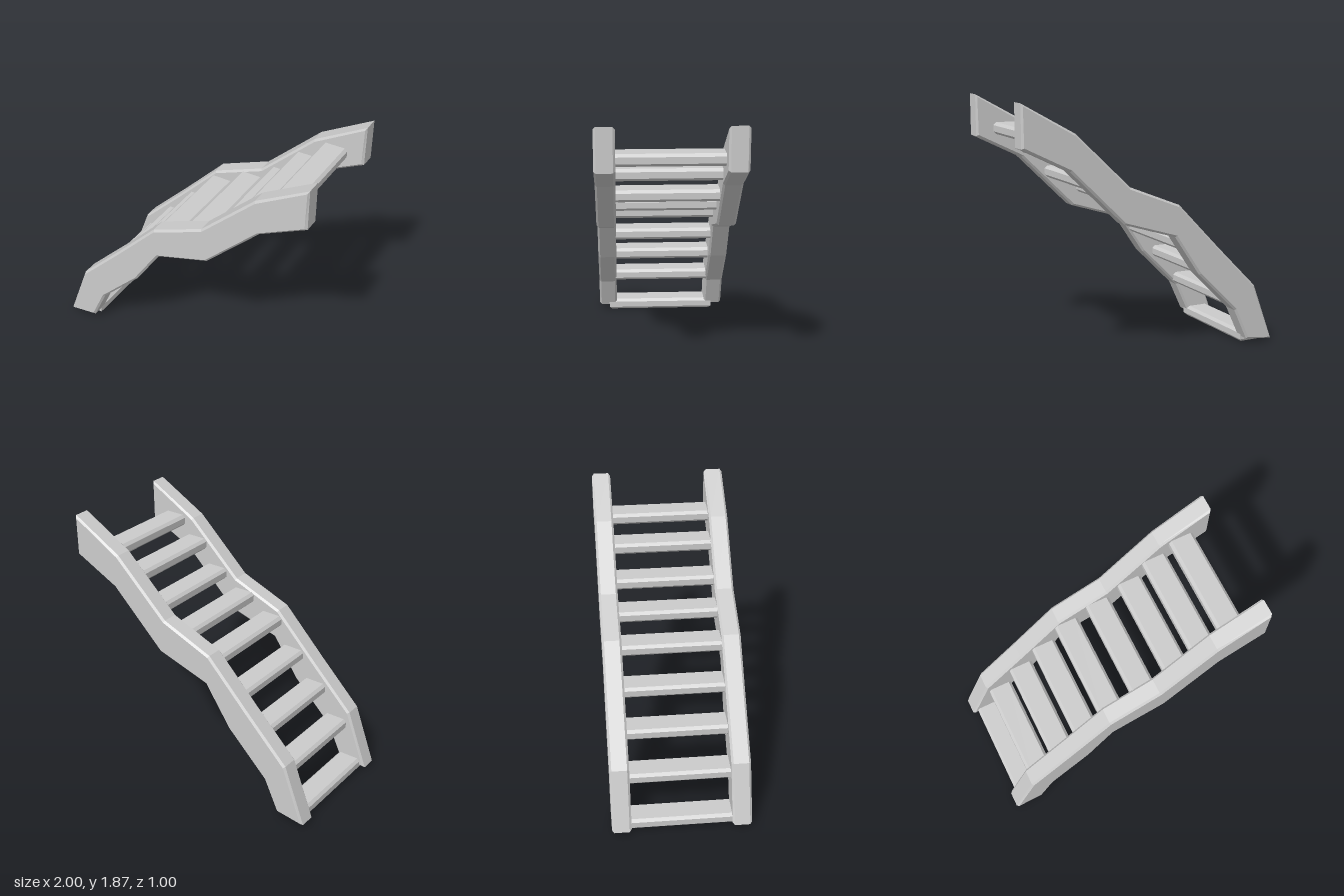
import * as THREE from 'three';

const material = new THREE.MeshStandardMaterial({ color: 0xcccccc, flatShading: true });

// Extrudes an outline to a total depth, chamfering the rims inside the outline
function chamferedPlate(points, depth, chamfer) {
  const shape = new THREE.Shape(points.map(([x, y]) => new THREE.Vector2(x, y)));
  const geometry = new THREE.ExtrudeGeometry(shape, {
    depth: depth - 2 * chamfer,
    bevelEnabled: true,
    bevelSegments: 1,
    bevelThickness: chamfer,
    bevelSize: chamfer,
    bevelOffset: -chamfer,
  });
  geometry.translate(0, 0, chamfer - depth / 2);
  return geometry;
}

export function createModel() {
  const group = new THREE.Group();
  group.name = 'staircase';

  // Crooked side boards: upper edge going up, then lower edge coming down
  const outline = [
    [-1, 0.02], [-0.84, 0.45], [-0.52, 0.77], [-0.19, 1.11], [0.2, 1.265], [0.61, 1.655], [0.995, 1.87],
    [0.995, 1.57], [0.65, 1.4], [0.245, 1.005], [-0.16, 0.88], [-0.36, 0.585], [-0.67, 0.28], [-0.78, 0.045],
  ];
  const boardGeometry = chamferedPlate(outline, 0.14, 0.015);
  for (const [name, side] of [['frontSideBoard', 1], ['backSideBoard', -1]]) {
    const board = new THREE.Mesh(boardGeometry, material);
    board.name = name;
    board.position.z = side * 0.43;
    group.add(board);
  }

  // Treads: [centre x, top y], unevenly spaced
  const treads = [
    [-0.865, 0.085], [-0.73, 0.385], [-0.535, 0.625], [-0.33, 0.845], [-0.13, 1.07],
    [0.125, 1.195], [0.38, 1.325], [0.57, 1.52], [0.775, 1.665],
  ];
  const w = 0.093, l = 0.42, thickness = 0.085;
  const treadGeometry = chamferedPlate([[-w, -l], [w, -l], [w, l], [-w, l]], thickness, 0.02);
  treadGeometry.rotateX(-Math.PI / 2);
  treads.forEach(([x, top], i) => {
    const tread = new THREE.Mesh(treadGeometry, material);
    tread.name = `tread${i + 1}`;
    tread.position.set(x, top - thickness / 2, 0);
    group.add(tread);
  });

  return group;
}
